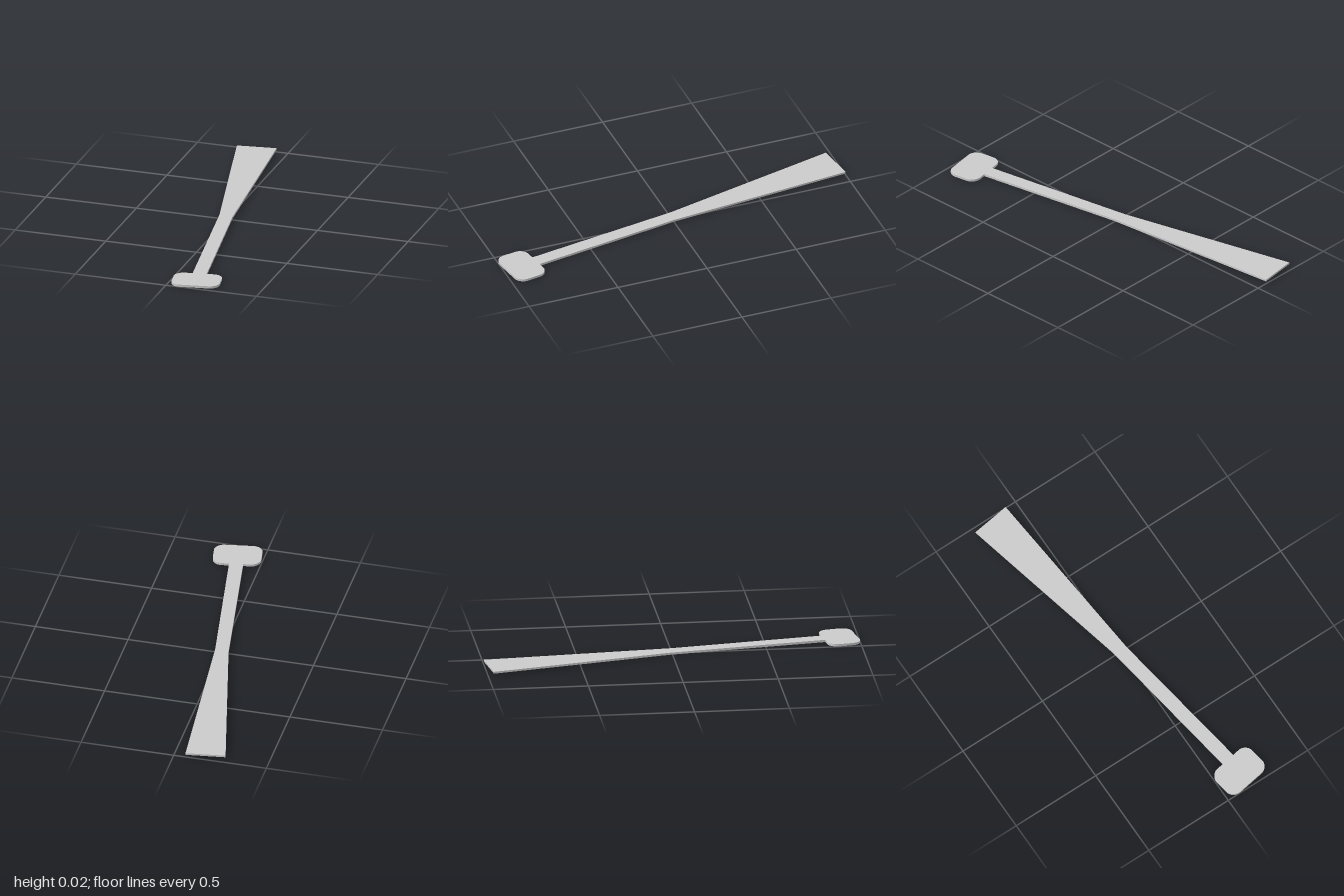
import * as THREE from 'three';
import { toCreasedNormals } from 'three/addons/utils/BufferGeometryUtils.js';

const THICKNESS = 0.0125;
const PAD_W = 0.255, PAD_L = 0.175, PAD_R = 0.052;

// Flat plate from an outline (x across, y along the length towards the back),
// laid down and raised gently and thinned slightly towards the far end.
function plate(name, shape, material) {
  let geo = new THREE.ExtrudeGeometry(shape, { depth: THICKNESS, bevelEnabled: false, curveSegments: 8 });
  geo.rotateX(-Math.PI / 2);
  const pos = geo.attributes.position;
  for (let i = 0; i < pos.count; i++) {
    const along = Math.max(0, -pos.getZ(i) - PAD_L / 2);
    pos.setY(i, pos.getY(i) * (1 - 0.1 * along) + 0.0064 * along);
  }
  geo = toCreasedNormals(geo, Math.PI / 6);
  const mesh = new THREE.Mesh(geo, material);
  mesh.name = name;
  return mesh;
}

function polygon(points) {
  return new THREE.Shape(points.map(([x, y]) => new THREE.Vector2(x, y)));
}

function roundedRect(w, h, r) {
  const s = new THREE.Shape();
  const x = w / 2 - r, y = h / 2 - r;
  s.absarc(x, y, r, 0, Math.PI / 2);
  s.absarc(-x, y, r, Math.PI / 2, Math.PI);
  s.absarc(-x, -y, r, Math.PI, Math.PI * 1.5);
  s.absarc(x, -y, r, Math.PI * 1.5, Math.PI * 2);
  s.closePath();
  return s;
}

export function createModel() {
  const model = new THREE.Group();
  model.name = 'paddle';
  const material = new THREE.MeshStandardMaterial({ color: 0xcccccc });

  // Shared corners where the parts meet
  const gripL = [-0.036, PAD_L / 2], gripR = [0.038, PAD_L / 2];
  const waistL = [-0.029, 0.925], waistR = [0.043, 0.905];

  const body = new THREE.Group();
  body.name = 'body';
  body.add(
    plate('gripPad', roundedRect(PAD_W, PAD_L, PAD_R), material),
    plate('shaft', polygon([gripL, gripR, waistR, waistL]), material),
    plate('blade', polygon([waistL, waistR, [0.116, 1.905], [-0.095, 1.911]]), material)
  );

  // The whole piece lies slightly askew
  body.rotation.y = THREE.MathUtils.degToRad(9.5);
  body.position.set(0.137, 0, 0.9);
  model.add(body);
  return model;
}
